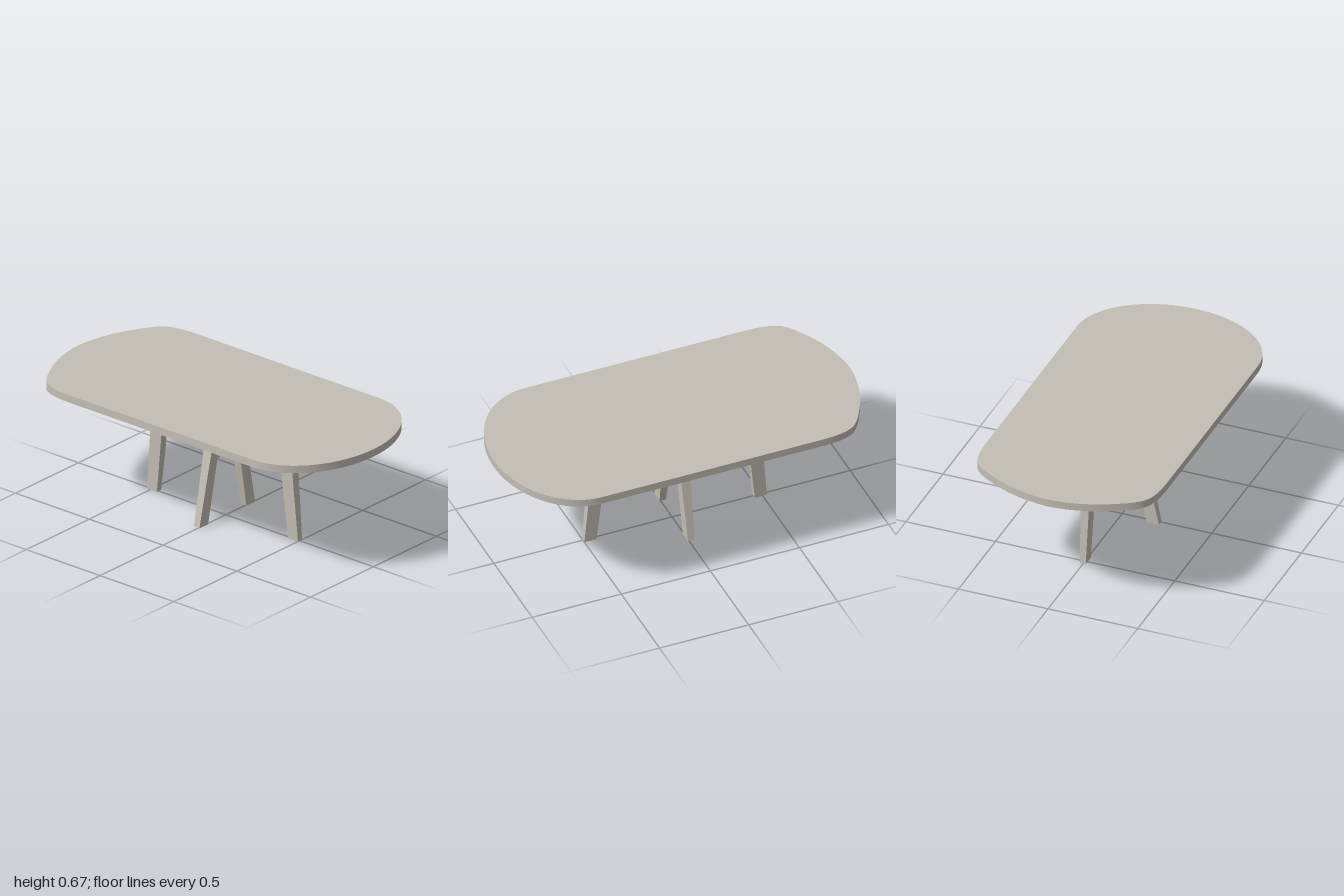
import * as THREE from 'three';
import { toCreasedNormals } from 'three/addons/utils/BufferGeometryUtils.js';

const TOP = 0.665, UNDER = 0.623; // tabletop faces
const CX = -0.012, CZ = -0.003;   // centre of the base

// Tapered leg leaning outward along +x: box with its corners moved.
function legGeometry(top, bottom) {
  const geo = new THREE.BoxGeometry(1, 1, 1);
  const p = geo.attributes.position;
  for (let i = 0; i < p.count; i++) {
    const upper = p.getY(i) > 0;
    const s = upper ? top : bottom;
    p.setXYZ(i, p.getX(i) > 0 ? s.outer : s.inner, upper ? UNDER : 0, Math.sign(p.getZ(i)) * s.half);
  }
  const flat = geo.toNonIndexed();
  flat.computeVertexNormals();
  return flat;
}

// Oblong outline: elliptical at the +x end, slightly squarer at the -x end.
function tabletopShape() {
  const pts = [];
  for (let i = 0; i <= 48; i++) {
    const a = -Math.PI / 2 + (Math.PI * i) / 48;
    pts.push(new THREE.Vector2(0.61 + 0.39 * Math.cos(a), 0.505 * Math.sin(a)));
  }
  const corner = [[-0.62, 0.505], [-0.72, 0.499], [-0.8, 0.475], [-0.85, 0.43],
    [-0.9, 0.35], [-0.95, 0.245], [-0.985, 0.125]];
  const end = [...corner, [-1, 0], ...corner.map(([x, z]) => [x, -z]).reverse()];
  const curve = new THREE.SplineCurve(end.map(([x, z]) => new THREE.Vector2(x, z)));
  pts.push(...curve.getPoints(48));
  return new THREE.Shape(pts);
}

export function createModel() {
  const table = new THREE.Group();
  table.name = 'table';
  const material = new THREE.MeshStandardMaterial({ color: 0xc4bfb5 });
  material.name = 'warm grey';

  const add = (name, geo, parent) => {
    const mesh = new THREE.Mesh(geo, material);
    mesh.name = name;
    parent.add(mesh);
    return mesh;
  };

  // Tabletop slab with a smooth rim
  const slab = new THREE.ExtrudeGeometry(tabletopShape(), { depth: TOP - UNDER, bevelEnabled: false });
  slab.rotateX(-Math.PI / 2);
  add('tabletop', toCreasedNormals(slab, Math.PI / 5), table).position.y = UNDER;

  const base = new THREE.Group();
  base.name = 'base';
  base.position.set(CX, 0, CZ);
  table.add(base);

  // Side legs and splayed centre legs, one of each kind per direction
  const sideLeg = legGeometry({ outer: 0.46, inner: 0.377, half: 0.029 }, { outer: 0.512, inner: 0.444, half: 0.0165 });
  const centreLeg = legGeometry({ outer: 0.088, inner: 0.035, half: 0.031 }, { outer: 0.221, inner: 0.152, half: 0.0185 });
  add('leftLeg', sideLeg, base);
  add('rightLeg', sideLeg, base).rotation.y = Math.PI;
  add('frontLeg', centreLeg, base).rotation.y = -Math.PI / 2;
  add('backLeg', centreLeg, base).rotation.y = Math.PI / 2;

  // Crossed rails under the top
  const railH = 0.025;
  add('longRail', new THREE.BoxGeometry(0.77, railH, 0.058), base).position.y = UNDER - railH / 2;
  add('crossRail', new THREE.BoxGeometry(0.062, railH, 0.08), base).position.y = UNDER - railH / 2;

  return table;
}
